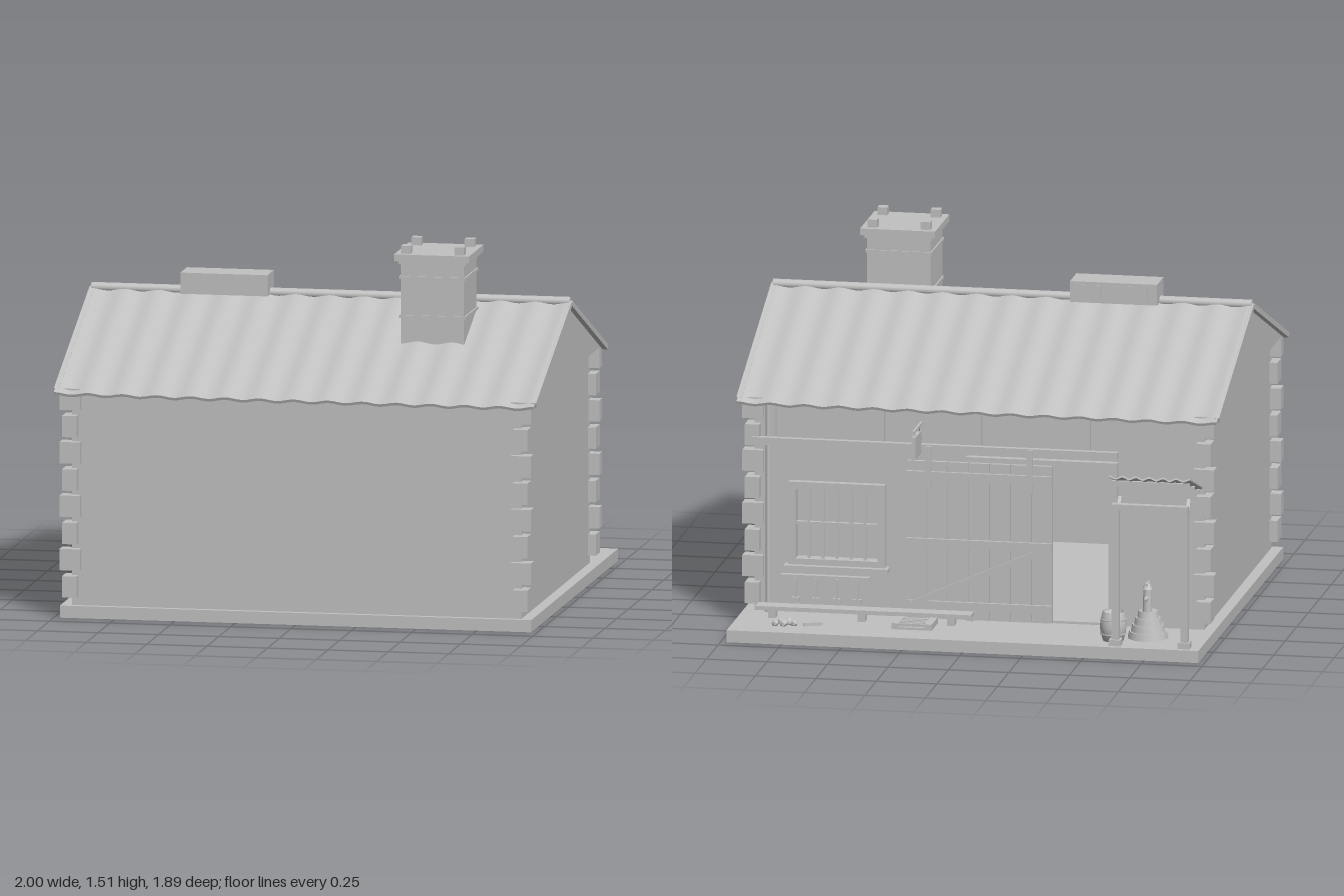
import * as THREE from 'three';

const stone = new THREE.MeshStandardMaterial({ color: 0xc0c0c0 });
stone.name = 'pale grey';

export function createModel() {
  const model = new THREE.Group();
  const add = (name, geo, x = 0, y = 0, z = 0) => {
    const m = new THREE.Mesh(geo, stone);
    m.name = name;
    m.position.set(x, y, z);
    model.add(m);
    return m;
  };
  // Box given by its extents on each axis
  const box = (name, x0, x1, y0, y1, z0, z1) =>
    add(name, new THREE.BoxGeometry(x1 - x0, y1 - y0, z1 - z0), (x0 + x1) / 2, (y0 + y1) / 2, (z0 + z1) / 2);
  // Square bar between two points
  const bar = (name, a, b, t) => {
    const p = new THREE.Vector3(...a), q = new THREE.Vector3(...b);
    const m = add(name, new THREE.BoxGeometry(t, t, p.distanceTo(q)));
    m.position.copy(p).add(q).multiplyScalar(0.5);
    m.lookAt(q);
    return m;
  };
  const rectPath = (P, x0, x1, y0, y1) =>
    new P([[x0, y0], [x1, y0], [x1, y1], [x0, y1]].map(([x, y]) => new THREE.Vector2(x, y)));

  // Base slab and walls
  box('baseSlab', -0.975, 0.975, 0, 0.05, -0.945, 0.905);
  box('frontWall', -0.93, 0.93, 0.05, 0.94, 0.82, 0.88);
  for (const s of [-1, 1]) {
    const a = s * 0.93, b = s * 0.87;
    box('sideWall', Math.min(a, b), Math.max(a, b), 0.05, 0.94, -0.5, 0.82);
  }
  const backShape = rectPath(THREE.Shape, -0.93, 0.93, 0.05, 0.94);
  backShape.holes.push(rectPath(THREE.Path, -0.54, 0.02, 0.06, 0.7), rectPath(THREE.Path, 0.41, 0.76, 0.27, 0.58));
  add('backWall', new THREE.ExtrudeGeometry(backShape, { depth: 0.075, bevelEnabled: false }), 0, 0, -0.575);

  // Gable block under the roof
  const gable = new THREE.Shape([[-0.885, 0.94], [0.585, 0.94], [-0.15, 1.224]].map(([u, v]) => new THREE.Vector2(u, v)));
  const gableGeo = new THREE.ExtrudeGeometry(gable, { depth: 1.95, bevelEnabled: false });
  gableGeo.rotateY(Math.PI / 2);
  add('gableBlock', gableGeo, -0.975);

  // Corner stones, alternating long and short
  for (const x of [-0.933, 0.933]) for (const z of [0.88, -0.572]) for (let i = 0; i < 8; i++) {
    const w = i % 2 ? 0.085 : 0.06, d = i % 2 ? 0.06 : 0.085;
    add('cornerStone', new THREE.BoxGeometry(w, 0.088, d), x, 0.13 + i * 0.11, z);
  }

  // Corrugated sheet, waves running across x
  const corrugated = (w, len, waves, amp, t) => {
    const g = new THREE.BoxGeometry(w, t, len, waves * 8, 1, 1);
    const p = g.attributes.position;
    for (let i = 0; i < p.count; i++) p.setY(i, p.getY(i) + amp * Math.cos(p.getX(i) / w * waves * 2 * Math.PI));
    g.computeVertexNormals();
    return g;
  };
  for (const [s, run] of [[1, 0.79], [-1, 0.785]]) {
    const sheet = add('roofSlope', corrugated(1.985, Math.hypot(run, 0.312), 14, 0.005, 0.012), 0, 1.08, 0.15 + s * run / 2);
    sheet.rotation.x = s * Math.atan2(0.312, run);
    // Rake boards along both gables
    for (const x of [-0.987, 0.987])
      bar('rakeBoard', [x, 1.235, 0.15], [x, 0.935, 0.15 + s * run * 0.965], 0.022);
  }
  const ridge = add('ridgeCap', new THREE.CylinderGeometry(0.02, 0.02, 1.98, 12), 0, 1.241, 0.15);
  ridge.rotation.z = Math.PI / 2;
  box('ridgeVent', -0.61, -0.25, 1.235, 1.322, 0.08, 0.22);
  for (let i = 0; i < 5; i++) box('ventSlat', -0.57 + i * 0.065, -0.555 + i * 0.065, 1.25, 1.31, 0.075, 0.08);

  // Chimney
  const chimney = (name, h, y, w) => add(name, new THREE.BoxGeometry(w, h, w), 0.486, y, 0.358);
  chimney('chimneyStack', 0.39, 1.255, 0.262);
  chimney('chimneyBand', 0.012, 1.375, 0.274);
  chimney('chimneyBand', 0.012, 1.215, 0.274);
  chimney('chimneyNeck', 0.015, 1.438, 0.28);
  chimney('chimneyCap', 0.028, 1.459, 0.31);
  for (const sx of [-1, 1]) for (const sz of [-1, 1])
    add('chimneyPot', new THREE.BoxGeometry(0.04, 0.035, 0.04), 0.486 + sx * 0.11, 1.488, 0.358 + sz * 0.11);

  // Door frame and sliding track
  box('doorJamb', -0.575, -0.54, 0.05, 0.73, -0.605, -0.56);
  box('doorJamb', 0.02, 0.05, 0.05, 0.73, -0.605, -0.56);
  box('doorLintel', -0.575, 0.05, 0.7, 0.735, -0.605, -0.56);
  box('doorTrack', -0.58, 0.93, 0.755, 0.785, -0.63, -0.605);
  for (const x of [-0.45, 0, 0.4, 0.85]) box('trackBracket', x - 0.012, x + 0.012, 0.75, 0.93, -0.605, -0.57);

  // Plank door
  for (let i = 0; i < 7; i++) {
    const x = -0.31 + i * 0.0865;
    box('doorPlank', x, x + 0.08, 0.06, 0.715, -0.627, -0.61);
  }
  box('doorBacking', -0.305, 0.285, 0.07, 0.7, -0.612, -0.606);
  for (const y of [0.1, 0.36, 0.64]) box('doorRail', -0.31, 0.29, y, y + 0.035, -0.64, -0.626);
  bar('doorBrace', [0.27, 0.12, -0.633], [-0.29, 0.37, -0.633], 0.024);
  for (const x of [-0.22, 0.2]) box('doorHanger', x - 0.012, x + 0.012, 0.6, 0.78, -0.642, -0.626);
  const handle = add('doorHandle', new THREE.TorusGeometry(0.05, 0.007, 6, 12, Math.PI), -0.27, 0.35, -0.627);
  handle.rotation.set(0, Math.PI / 2, Math.PI / 2);
  handle.scale.x = 1.2;
  handle.rotation.set(0, Math.PI / 2, Math.PI / 2, 'YXZ');
  handle.scale.y = 0.6;
  handle.rotation.y = -Math.PI / 2;
  handle.rotation.z = -Math.PI / 2;

  // Window with bars and sill
  box('windowPane', 0.4, 0.77, 0.26, 0.59, -0.535, -0.527);
  for (const x of [0.385, 0.755]) box('windowFrame', x, x + 0.03, 0.25, 0.6, -0.605, -0.55);
  for (const y of [0.25, 0.57]) box('windowFrame', 0.385, 0.785, y, y + 0.03, -0.605, -0.55);
  for (let i = 1; i < 6; i++) box('windowBar', 0.409 + i * 0.058, 0.419 + i * 0.058, 0.27, 0.58, -0.585, -0.57);
  box('windowBar', 0.41, 0.76, 0.42, 0.432, -0.59, -0.57);
  box('windowSill', 0.37, 0.8, 0.235, 0.255, -0.63, -0.57);

  // Tool rail with hanging tools
  box('toolRail', 0.45, 0.82, 0.195, 0.21, -0.6, -0.57);
  for (let i = 0; i < 4; i++) {
    const x = 0.5 + i * 0.085;
    box('toolShaft', x - 0.005, x + 0.005, 0.11, 0.2, -0.612, -0.602);
    box('toolHead', x - 0.016, x + 0.016, 0.1, 0.12, -0.616, -0.598);
  }

  // Bench, boot scraper and downpipe
  box('benchPlank', 0.01, 0.9, 0.085, 0.1, -0.71, -0.64);
  for (const x of [0.08, 0.45, 0.82]) box('benchLeg', x, x + 0.03, 0.05, 0.085, -0.7, -0.65);
  for (const x of [0.155, 0.29]) box('scraperSide', x, x + 0.03, 0.05, 0.075, -0.8, -0.665);
  box('scraperTray', 0.155, 0.32, 0.05, 0.06, -0.8, -0.665);
  for (let i = 0; i < 5; i++) box('scraperSlat', 0.18, 0.295, 0.06, 0.072, -0.785 + i * 0.023, -0.775 + i * 0.023);
  add('downpipe', new THREE.CylinderGeometry(0.011, 0.011, 0.87, 8), 0.87, 0.485, -0.595);

  // Hanging sign board on a bracket
  bar('signBracket', [0.24, 0.862, -0.57], [0.24, 0.862, -0.75], 0.01);
  bar('signBrace', [0.24, 0.8, -0.58], [0.24, 0.86, -0.64], 0.008);
  box('signBoard', 0.232, 0.248, 0.745, 0.84, -0.745, -0.615);
  for (const z of [-0.72, -0.64]) box('signHook', 0.237, 0.243, 0.84, 0.862, z - 0.003, z + 0.003);

  // Lean-to canopy on posts
  const canopy = add('canopySheet', corrugated(0.335, 0.305, 6, 0.005, 0.007), -0.77, 0.705, -0.785);
  canopy.rotation.x = Math.atan2(0.1, 0.285);
  for (const z of [-0.68, -0.79, -0.89]) {
    const y = 0.693 - (z + 0.785) * 0.35;
    box('canopyBatten', -0.93, -0.61, y - 0.008, y + 0.004, z - 0.008, z + 0.008);
  }
  for (const x of [-0.91, -0.625]) {
    box('canopyPost', x - 0.015, x + 0.015, 0.05, 0.64, -0.915, -0.885);
    box('postFoot', x - 0.024, x + 0.024, 0.05, 0.075, -0.924, -0.876);
    bar('postBrace', [x, 0.53, -0.89], [x, 0.645, -0.8], 0.015);
  }
  box('canopyBeam', -0.925, -0.61, 0.615, 0.64, -0.915, -0.885);

  // Barrel
  const barrelProfile = [[0, 0], [0.042, 0], [0.052, 0.035], [0.055, 0.06], [0.052, 0.085], [0.044, 0.12], [0.038, 0.12], [0.038, 0.105], [0, 0.105]];
  add('barrel', new THREE.LatheGeometry(barrelProfile.map(([r, y]) => new THREE.Vector2(r, y)), 20), -0.6, 0.05, -0.82);
  for (const y of [0.08, 0.14]) {
    const hoop = add('barrelHoop', new THREE.TorusGeometry(0.052, 0.003, 6, 20), -0.6, y, -0.82);
    hoop.rotation.x = Math.PI / 2;
  }

  // Stone plinth in stepped courses with a hand pump
  for (let i = 0; i < 4; i++)
    add('plinthCourse', new THREE.CylinderGeometry(0.078 - i * 0.013, 0.084 - i * 0.013, 0.028, 12), -0.73, 0.064 + i * 0.028, -0.745);
  add('pumpBody', new THREE.CylinderGeometry(0.016, 0.02, 0.1, 12), -0.73, 0.21, -0.76);
  add('pumpCap', new THREE.CylinderGeometry(0.01, 0.022, 0.025, 12), -0.73, 0.268, -0.76);
  bar('pumpHandle', [-0.73, 0.276, -0.72], [-0.73, 0.276, -0.785], 0.01);
  bar('pumpSpout', [-0.73, 0.225, -0.76], [-0.73, 0.215, -0.8], 0.012);

  // Loose logs and stones on the slab
  bar('log', [0.61, 0.058, -0.79], [0.68, 0.058, -0.82], 0.014);
  for (let i = 0; i < 7; i++) {
    const a = i * 2.4, r = 0.014 * Math.sqrt(i);
    add('looseStone', new THREE.IcosahedronGeometry(0.016, 0), 0.76 + r * 1.4 * Math.cos(a), 0.06, -0.81 + r * Math.sin(a));
  }
  return model;
}
